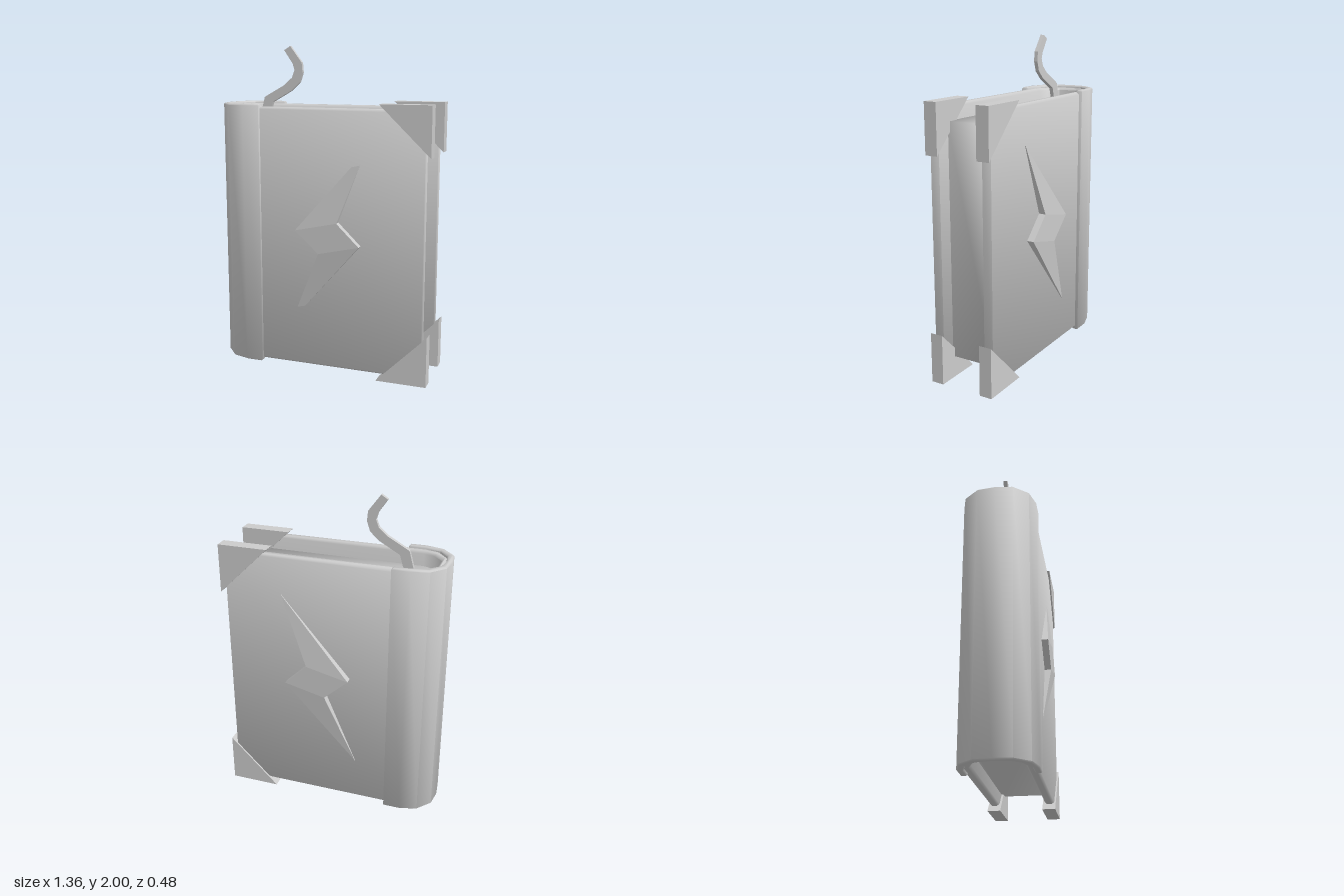
import * as THREE from 'three';
import { toCreasedNormals } from 'three/addons/utils/BufferGeometryUtils.js';

const material = new THREE.MeshStandardMaterial({ color: 0xcccccc });
const flatMaterial = new THREE.MeshStandardMaterial({ color: 0xcccccc, flatShading: true });

const shapeOf = (points) => new THREE.Shape(points.map(([x, y]) => new THREE.Vector2(x, y)));

// Adds the mirrored half (z -> -z) to a half outline given from its open end to the spine
const mirrored = (half) => [...half, ...half.map(([x, z]) => [x, -z]).reverse()];

// Upright prism: plan outline in x/z, raised from y0 to y1, with softened rims
function upright(name, plan, y0, y1, bevel, crease) {
  let geometry = new THREE.ExtrudeGeometry(shapeOf(plan), {
    depth: y1 - y0 - 2 * bevel,
    bevelEnabled: bevel > 0,
    bevelThickness: bevel,
    bevelSize: bevel,
    bevelOffset: -bevel,
    bevelSegments: 1,
  });
  geometry.rotateX(-Math.PI / 2).translate(0, y0 + bevel, 0);
  geometry = toCreasedNormals(geometry, crease);
  const mesh = new THREE.Mesh(geometry, material);
  mesh.name = name;
  return mesh;
}

// Flat plate: outline in x/y, between z0 and z1
function plate(name, outline, z0, z1) {
  const geometry = new THREE.ExtrudeGeometry(shapeOf(outline), { depth: z1 - z0, bevelEnabled: false });
  geometry.translate(0, 0, z0);
  const mesh = new THREE.Mesh(geometry, flatMaterial);
  mesh.name = name;
  return mesh;
}

// Lightning bolt through both covers: raised middle, tips sinking towards the covers
function lightningBolt() {
  const outline = [[0.29, 1.4], [-0.14, 0.905], [0.01, 0.77], [-0.18, 0.32], [0.265, 0.83], [0.125, 0.965]];
  const n = outline.length;
  const isTip = (i) => i % 3 === 0;
  const positions = [
    ...outline.flatMap(([x, y], i) => [x, y, isTip(i) ? 0.19 : 0.24]),
    ...outline.flatMap(([x, y], i) => [x, y, isTip(i) ? -0.204 : -0.244]),
  ];
  const index = [];
  for (const [a, b, c] of [[0, 1, 5], [1, 2, 4], [1, 4, 5], [2, 3, 4]]) {
    index.push(a, b, c, a + n, c + n, b + n);
  }
  for (let i = 0; i < n; i++) {
    const j = (i + 1) % n;
    index.push(i, i + n, j, j, i + n, j + n);
  }
  const indexed = new THREE.BufferGeometry();
  indexed.setAttribute('position', new THREE.Float32BufferAttribute(positions, 3));
  indexed.setIndex(index);
  const geometry = indexed.toNonIndexed();
  geometry.computeVertexNormals();
  const mesh = new THREE.Mesh(geometry, flatMaterial);
  mesh.name = 'lightningBolt';
  return mesh;
}

export function createModel() {
  const book = new THREE.Group();
  book.name = 'book';

  // U-shaped cover
  const coverOuter = mirrored([[0.645, 0.2], [-0.485, 0.2], [-0.575, 0.168], [-0.635, 0.09]]);
  const coverInner = mirrored([[0.645, 0.143], [-0.48, 0.143], [-0.55, 0.118], [-0.605, 0.06]]);
  book.add(upright('cover', [...coverOuter, ...coverInner.reverse()], 0.04, 1.64, 0.014, 0.9));

  // Spine wrapped around the back of the cover
  const spineOuter = mirrored([[-0.38, 0.22], [-0.485, 0.22], [-0.593, 0.19], [-0.667, 0.105], [-0.68, 0]]);
  const spineInner = mirrored([[-0.38, 0.18], [-0.48, 0.18], [-0.575, 0.155], [-0.63, 0.085], [-0.642, 0]]);
  spineOuter.splice(5, 1);
  spineInner.splice(5, 1);
  book.add(upright('spine', [...spineOuter, ...spineInner.reverse()], 0.025, 1.655, 0.008, 0.9));

  // Page block, shaded softly all round
  const pages = mirrored([[0.555, 0.146], [-0.48, 0.146], [-0.555, 0.12], [-0.61, 0.062]]);
  book.add(upright('pages', pages, 0.13, 1.55, 0, Math.PI));

  // Corner guards on both covers
  for (const [z0, z1, side] of [[0.13, 0.21, 'front'], [-0.21, -0.13, 'back']]) {
    book.add(plate(side + 'TopCorner', [[0.37, 1.67], [0.68, 1.37], [0.68, 1.67]], z0, z1));
    book.add(plate(side + 'BottomCorner', [[0.37, 0], [0.68, 0], [0.68, 0.31]], z0, z1));
  }

  book.add(lightningBolt());

  // Ribbon bookmark curling out of the top
  const ribbon = [
    [-0.41, 1.54], [-0.375, 1.66], [-0.25, 1.73], [-0.195, 1.78], [-0.175, 1.84], [-0.18, 1.9], [-0.255, 2],
    [-0.295, 1.975], [-0.24, 1.895], [-0.228, 1.855], [-0.245, 1.81], [-0.295, 1.765], [-0.43, 1.69], [-0.47, 1.54],
  ];
  book.add(plate('bookmark', ribbon, -0.012, 0.012));

  return book;
}
